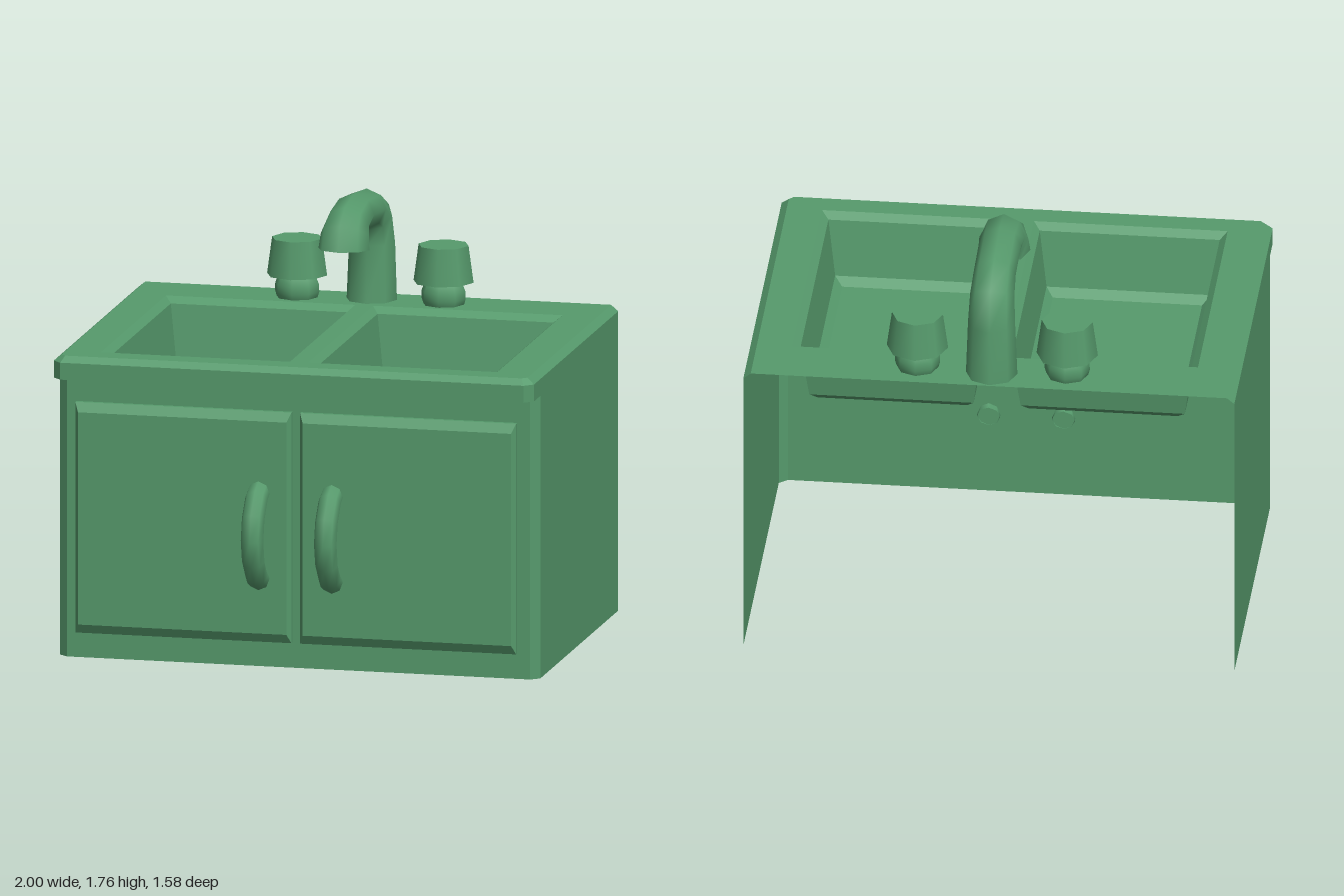
import * as THREE from 'three';

const COLOR = 0x569a6c;
const flat = new THREE.MeshStandardMaterial({ color: COLOR, flatShading: true, side: THREE.DoubleSide });
const smooth = new THREE.MeshStandardMaterial({ color: COLOR, side: THREE.DoubleSide });

// Skin between successive rings of [x, y, z] points; optional flat cap on the last ring
function loft(rings, closed, cap = false) {
  const n = rings[0].length;
  const pos = rings.flat(2);
  const index = [];
  for (let r = 0; r < rings.length - 1; r++) {
    for (let i = 0; i < (closed ? n : n - 1); i++) {
      const a = r * n + i, b = r * n + (i + 1) % n;
      index.push(a, b, b + n, a, b + n, a + n);
    }
  }
  if (cap) {
    const base = pos.length / 3;
    pos.push(...rings[rings.length - 1].flat());
    for (let i = 1; i < n - 1; i++) index.push(base, base + i, base + i + 1);
  }
  const g = new THREE.BufferGeometry();
  g.setAttribute('position', new THREE.Float32BufferAttribute(pos, 3));
  g.setIndex(index);
  g.computeVertexNormals();
  return g;
}

function add(parent, name, geometry, material) {
  const m = new THREE.Mesh(geometry, material);
  m.name = name;
  parent.add(m);
  return m;
}

// Three-sided outline (open at the back) with chamfered front corners
function outline(y, x, zSide, xFront, zFront) {
  const half = [[x, y, -0.79], [x, y, zSide], [xFront, y, zFront]];
  return [...half.map(([a, b, c]) => [-a, b, c]), ...half.reverse()];
}

// Horizontal rectangle ring
const rectXZ = (x0, x1, z0, z1, y) => [[x0, y, z1], [x1, y, z1], [x1, y, z0], [x0, y, z0]];
// Upright rectangle ring
const rectXY = (x0, x1, y0, y1, z) => [[x0, y0, z], [x1, y0, z], [x1, y1, z], [x0, y1, z]];

export function createModel() {
  const model = new THREE.Group();
  model.name = 'sinkCabinet';

  // Cabinet walls, open at back and bottom
  add(model, 'cabinetWalls', loft([
    outline(0, 1, 0.565, 0.965, 0.595),
    outline(1.17, 1, 0.565, 0.965, 0.595),
  ], false), flat);

  // Overhanging counter edge with bevelled top
  add(model, 'counterEdge', loft([
    outline(1.17, 1, 0.565, 0.965, 0.595),
    outline(1.17, 1, 0.675, 0.965, 0.71),
    outline(1.24, 1, 0.675, 0.965, 0.71),
    outline(1.265, 0.97, 0.665, 0.95, 0.685),
  ], false), flat);

  // Counter top with two basin openings
  const top = new THREE.Shape(outline(0, 0.97, 0.665, 0.95, 0.685).map(([x, , z]) => new THREE.Vector2(x, -z)));
  const basinX = [0.037, 0.826], basinZ = [-0.547, 0.588];
  for (const s of [-1, 1]) {
    top.holes.push(new THREE.Path(rectXZ(s * basinX[0], s * basinX[1], ...basinZ, 0)
      .map(([x, , z]) => new THREE.Vector2(x, -z))));
  }
  const topGeo = new THREE.ShapeGeometry(top).rotateX(-Math.PI / 2).translate(0, 1.265, 0);
  add(model, 'counterTop', topGeo, flat);

  // Basins: sloped rim, walls, bevel and floor
  for (const s of [-1, 1]) {
    const ring = (a, b, z0, z1, y) => {
      const xs = [s * a, s * b].sort((p, q) => p - q);
      return rectXZ(xs[0], xs[1], z0, z1, y);
    };
    add(model, s > 0 ? 'leftBasin' : 'rightBasin', loft([
      ring(...basinX, ...basinZ, 1.265),
      ring(0.064, 0.797, -0.513, 0.556, 1.24),
      ring(0.096, 0.765, -0.475, 0.515, 1.005),
      ring(0.125, 0.733, -0.443, 0.48, 0.975),
    ], true, true), flat);
  }

  // Doors with bevelled faces, and their curved handles
  class HandleArc extends THREE.Curve {
    getPoint(t, target = new THREE.Vector3()) {
      const a = (t - 0.5) * 2.72;
      return target.set(0, 0.548 + 0.203 * Math.sin(a), 0.542 + 0.203 * Math.cos(a));
    }
  }
  for (const s of [-1, 1]) {
    const side = s > 0 ? 'left' : 'right';
    const cx = s * 0.468 - 0.007;
    const face = (inset, insetY, z) =>
      rectXY(cx - 0.45 + inset, cx + 0.45 - inset, 0.105 + insetY, 1.06 - insetY, z);
    add(model, side + 'Door', loft([
      face(0, 0, 0.595), face(0, 0, 0.613), face(0.016, 0.038, 0.635),
    ], true, true), flat);
    const handle = add(model, side + 'Handle', new THREE.TubeGeometry(new HandleArc(), 6, 0.047, 8), smooth);
    handle.position.x = s * 0.1525 - 0.005;
  }

  // Faucet: each section is outer z, y, inner z, y and half width
  const sections = [
    [-0.785, 1.26, -0.575, 1.26, 0.105],
    [-0.775, 1.5, -0.595, 1.5, 0.096],
    [-0.73, 1.67, -0.585, 1.565, 0.09],
    [-0.59, 1.74, -0.545, 1.585, 0.086],
    [-0.365, 1.765, -0.365, 1.6, 0.086],
    [-0.21, 1.74, -0.31, 1.585, 0.09],
    [-0.12, 1.68, -0.305, 1.58, 0.1],
    [-0.09, 1.577, -0.3, 1.565, 0.106],
  ];
  const sides = 8;
  const faucetRings = sections.map(([z0, y0, z1, y1, w]) => Array.from({ length: sides }, (_, i) => {
    const a = i / sides * Math.PI * 2, c = Math.cos(a) / 2;
    return [-w * Math.sin(a), (y0 + y1) / 2 + (y0 - y1) * c, (z0 + z1) / 2 + (z0 - z1) * c];
  }));
  add(model, 'faucet', loft(faucetRings, true, true), smooth);

  // Tap knobs: ball neck, cut off at the counter, under a tapered head
  for (const s of [-1, 1]) {
    const knob = new THREE.Group();
    knob.name = s > 0 ? 'leftKnob' : 'rightKnob';
    knob.position.set(s * 0.305, 0, -0.655);
    const neck = new THREE.SphereGeometry(0.093, 8, 6, Math.PI / 2, Math.PI * 2, 0, 2.04);
    add(knob, 'knobNeck', neck, smooth).position.y = 1.3;
    add(knob, 'knobHead', new THREE.CylinderGeometry(0.104, 0.125, 0.152, 8), smooth).position.y = 1.433;
    model.add(knob);
  }

  return model;
}
